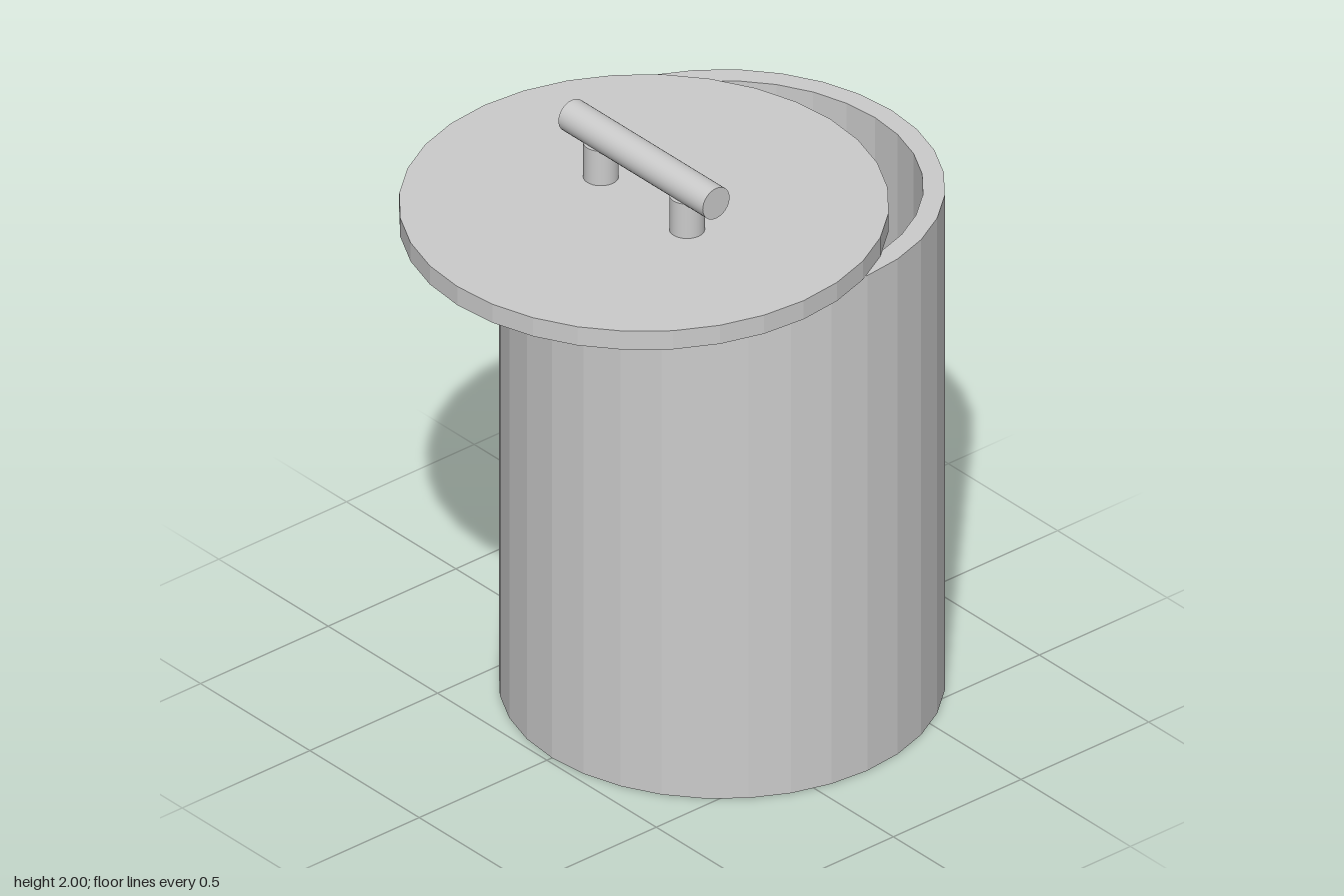
import * as THREE from 'three';

const SIDES = 32;

export function createModel() {
  const model = new THREE.Group();
  const faceted = new THREE.MeshStandardMaterial({ color: 0xcccccc, flatShading: true });
  const smooth = new THREE.MeshStandardMaterial({ color: 0xcccccc });

  const add = (parent, name, geometry, material, x, y, z) => {
    const mesh = new THREE.Mesh(geometry, material);
    mesh.name = name;
    mesh.position.set(x, y, z);
    parent.add(mesh);
    return mesh;
  };

  // Hollow container: outer wall, flat rim, inner wall and floor in one profile
  const profile = [
    [0, 0], [0.665, 0], [0.665, 1.73], [0.6, 1.73], [0.6, 0.065], [0, 0.065],
  ].map(([r, y]) => new THREE.Vector2(r, y));
  add(model, 'container', new THREE.LatheGeometry(profile, SIDES), faceted, 0, 0, -0.185);

  // Lid, slid forward so the back of the opening shows
  const lid = new THREE.Group();
  lid.name = 'lid';
  lid.position.set(0, 1.73, 0.12);
  model.add(lid);
  add(lid, 'lidDisc', new THREE.CylinderGeometry(0.73, 0.73, 0.065, SIDES), faceted, 0, 0.0325, 0);

  // Handle: two posts carrying a round bar
  for (const side of [-1, 1]) {
    const name = side > 0 ? 'leftHandlePost' : 'rightHandlePost';
    add(lid, name, new THREE.CylinderGeometry(0.053, 0.053, 0.125, SIDES), smooth, side * 0.197, 0.1225, 0);
  }
  const bar = add(lid, 'handleBar', new THREE.CylinderGeometry(0.0525, 0.0525, 0.66, SIDES), smooth, 0, 0.2175, 0);
  bar.rotation.z = Math.PI / 2;

  return model;
}
